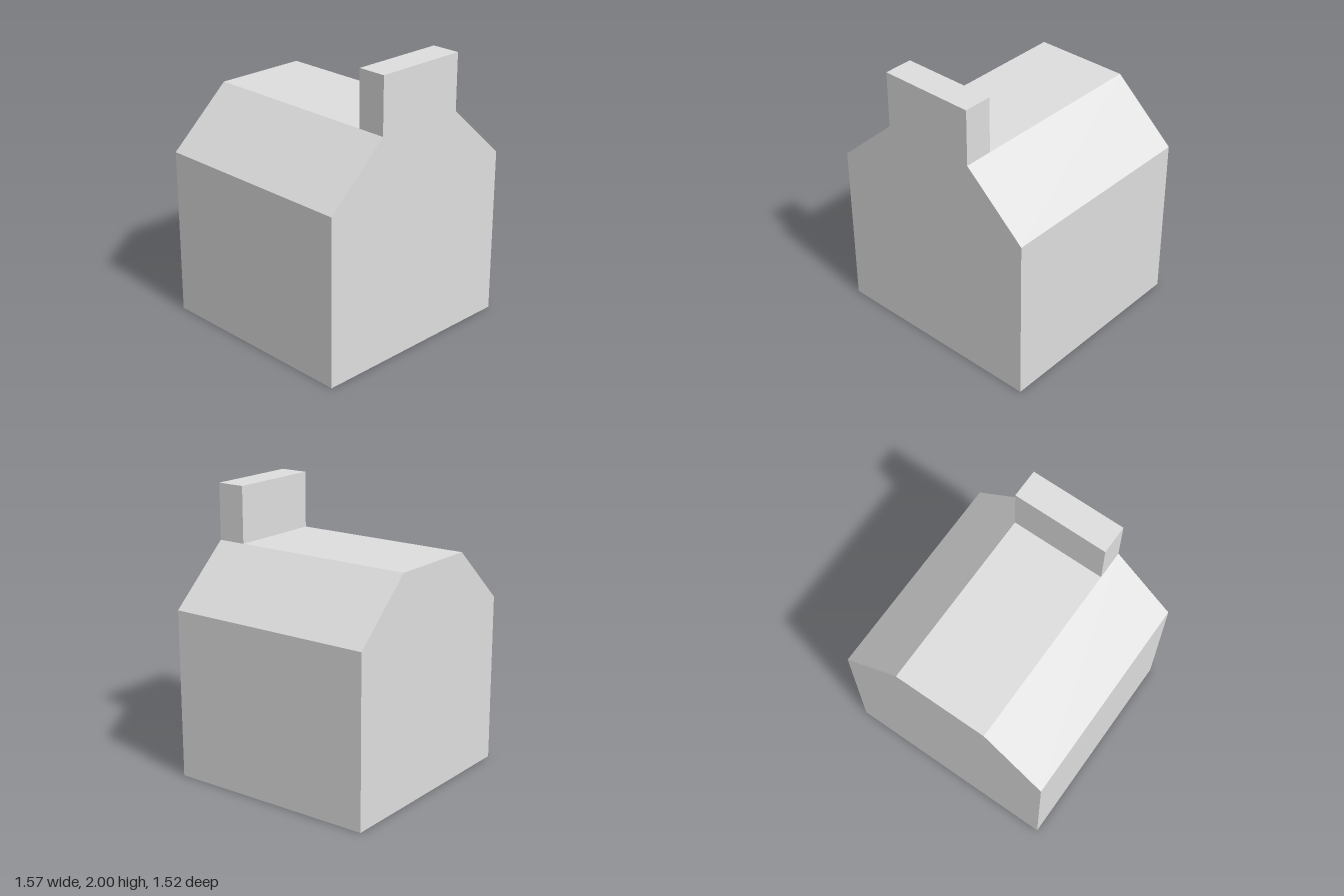
import * as THREE from 'three';

const HALF_W = 0.786, HALF_D = 0.76, EAVES = 1.2, RIDGE = 1.603, TOP = 2;
const FLAT = 0.342, PARAPET_DEPTH = 0.205;

export function createModel() {
  const model = new THREE.Group();
  const wallGrey = new THREE.MeshStandardMaterial({ color: 0xdedede });
  const floorPink = new THREE.MeshStandardMaterial({ color: 0xd49494 });
  wallGrey.name = 'wallGrey';
  floorPink.name = 'floorPink';

  const add = (name, geometry, material, x, y, z) => {
    const mesh = new THREE.Mesh(geometry, material);
    mesh.name = name;
    mesh.position.set(x, y, z);
    model.add(mesh);
    return mesh;
  };

  // House body: flat-topped gable profile run from back to front
  const profile = new THREE.Shape([
    [-HALF_W, 0.002], [HALF_W, 0.002], [HALF_W, EAVES],
    [FLAT, RIDGE], [-FLAT, RIDGE], [-HALF_W, EAVES],
  ].map(([x, y]) => new THREE.Vector2(x, y)));
  add('houseBody', new THREE.ExtrudeGeometry(profile, { depth: 2 * HALF_D, bevelEnabled: false }),
    wallGrey, 0, 0, -HALF_D);

  // Raised parapet, flush with the front wall
  add('frontParapet', new THREE.BoxGeometry(2 * FLAT, TOP - RIDGE, PARAPET_DEPTH),
    wallGrey, 0, (TOP + RIDGE) / 2, HALF_D - PARAPET_DEPTH / 2);

  // Underside, facing down
  add('underside', new THREE.PlaneGeometry(2 * HALF_W, 2 * HALF_D).rotateX(Math.PI / 2),
    floorPink, 0, 0, 0);

  return model;
}
